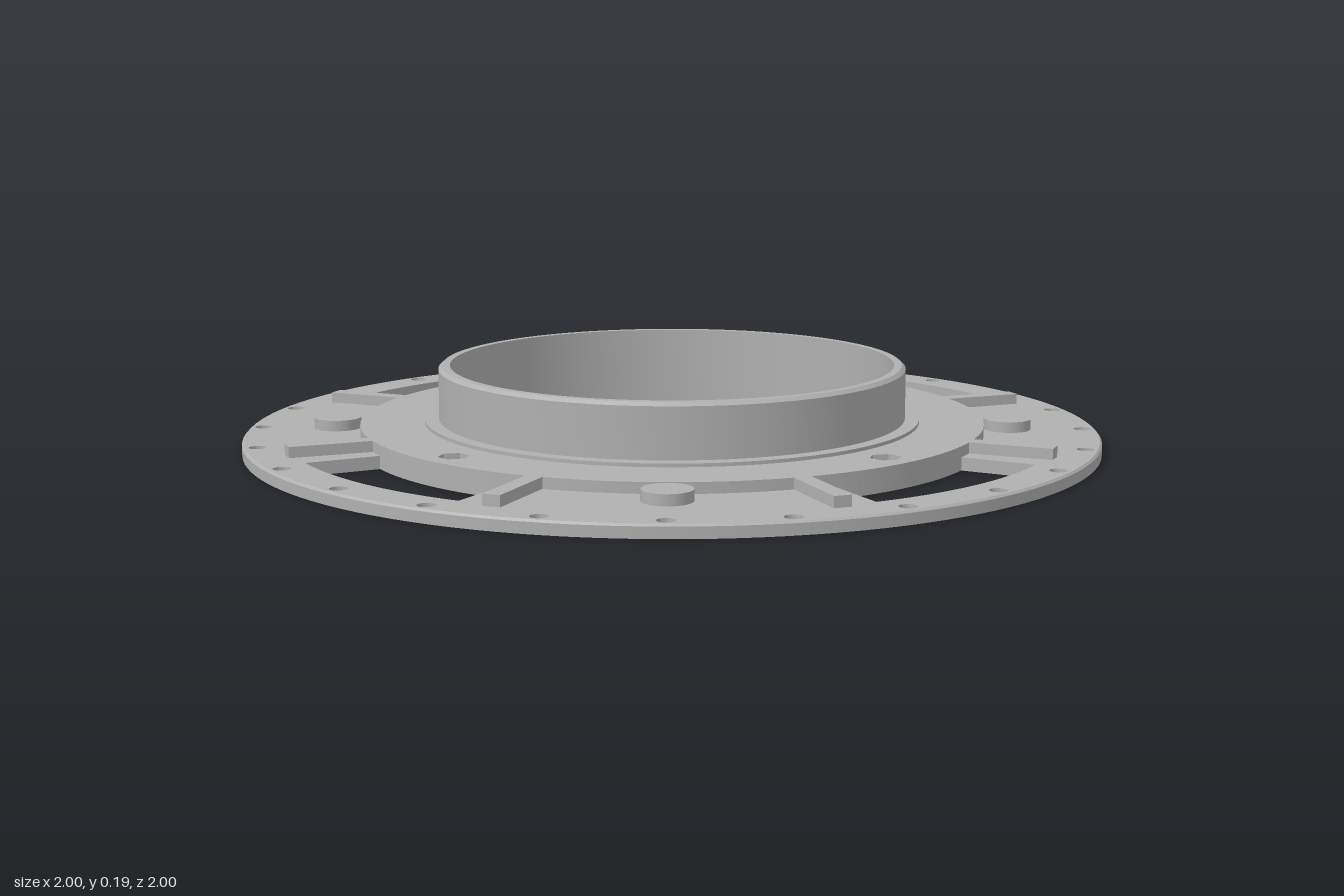
import * as THREE from 'three';
import { toCreasedNormals } from 'three/addons/utils/BufferGeometryUtils.js';

const PLATE_TOP = 0.03;
const RAISED_TOP = 0.055;
const SEGMENTS = 128;

// Regular polygon used as a hole: many sides for round, six for hex
function polygonHole(angle, distance, radius, sides, turn = 0) {
  const points = [];
  for (let i = 0; i < sides; i++) {
    const a = turn - (i / sides) * Math.PI * 2;
    points.push(new THREE.Vector2(
      Math.cos(angle) * distance + Math.cos(a) * radius,
      Math.sin(angle) * distance + Math.sin(a) * radius));
  }
  return new THREE.Path(points);
}

// Curved window with radial ends
function windowHole(angle, inner, outer, half) {
  const path = new THREE.Path();
  path.absarc(0, 0, outer, angle - half, angle + half, false);
  path.absarc(0, 0, inner, angle + half, angle - half, true);
  path.closePath();
  return path;
}

// Flat disc with holes, lying between two heights
function slab(radius, holes, bottom, top) {
  const shape = new THREE.Shape();
  shape.absarc(0, 0, radius, 0, Math.PI * 2, false);
  shape.holes.push(...holes);
  const geometry = new THREE.ExtrudeGeometry(shape, {
    depth: top - bottom, bevelEnabled: false, curveSegments: SEGMENTS / 2,
  });
  geometry.rotateX(-Math.PI / 2).translate(0, bottom, 0);
  return toCreasedNormals(geometry, 0.5);
}

function lathe(profile) {
  const points = profile.map(([r, y]) => new THREE.Vector2(r, y));
  return toCreasedNormals(new THREE.LatheGeometry(points, SEGMENTS), 0.5);
}

export function createModel() {
  const group = new THREE.Group();
  group.name = 'flangeRing';
  const grey = new THREE.MeshStandardMaterial({ color: 0xb0b0b0 });
  grey.name = 'grey';

  const add = (name, geometry) => {
    const mesh = new THREE.Mesh(geometry, grey);
    mesh.name = name;
    group.add(mesh);
    return mesh;
  };

  const plateHoles = [polygonHole(0, 0, 0.53, SEGMENTS)];
  const ringHoles = [polygonHole(0, 0, 0.53, SEGMENTS)];

  // Rim bolt holes
  for (let i = 0; i < 24; i++) {
    plateHoles.push(polygonHole(i * Math.PI / 12, 0.967, 0.02, 20));
  }

  for (let i = 0; i < 4; i++) {
    const axis = i * Math.PI / 2;
    const diagonal = axis + Math.PI / 4;

    // Windows, and bolt holes with hex recesses above
    plateHoles.push(windowHole(axis, 0.73, 0.902, 0.298));
    plateHoles.push(polygonHole(axis, 0.66, 0.02, 20));
    ringHoles.push(polygonHole(axis, 0.66, 0.036, 6));

    // Round bosses with hex pockets underneath
    plateHoles.push(polygonHole(diagonal, 0.79, 0.033, 6));
    const height = RAISED_TOP - PLATE_TOP;
    add('boss', new THREE.CylinderGeometry(0.055, 0.055, height, 40)).position.set(
      Math.cos(diagonal) * 0.79, PLATE_TOP + height / 2, Math.sin(diagonal) * 0.79);
  }

  // Base plate and its chamfered outer rim
  add('basePlate', slab(0.99, plateHoles, 0, PLATE_TOP));
  add('plateRim', lathe([[0.99, 0], [1, 0], [1, 0.025], [0.995, PLATE_TOP], [0.99, PLATE_TOP]]));

  // Raised ring around the collar
  add('raisedRing', slab(0.73, ringHoles, PLATE_TOP, RAISED_TOP));

  // Low step and tall collar
  add('collarStep', lathe([[0.58, RAISED_TOP], [0.58, 0.063], [0.54, 0.063]]));
  add('collar', lathe([
    [0.52, 0], [0.531, 0], [0.531, 0.05], [0.547, 0.05],
    [0.547, 0.18], [0.538, 0.188], [0.52, 0.188], [0.52, 0],
  ]));

  // Radial ribs beside the windows
  for (let i = 0; i < 8; i++) {
    const angle = (i + 0.5) * Math.PI / 4;
    const rib = add('rib', new THREE.BoxGeometry(0.2, RAISED_TOP - PLATE_TOP, 0.04));
    rib.position.set(Math.cos(angle) * 0.82, (RAISED_TOP + PLATE_TOP) / 2, Math.sin(angle) * 0.82);
    rib.rotation.y = -angle;
  }

  return group;
}
